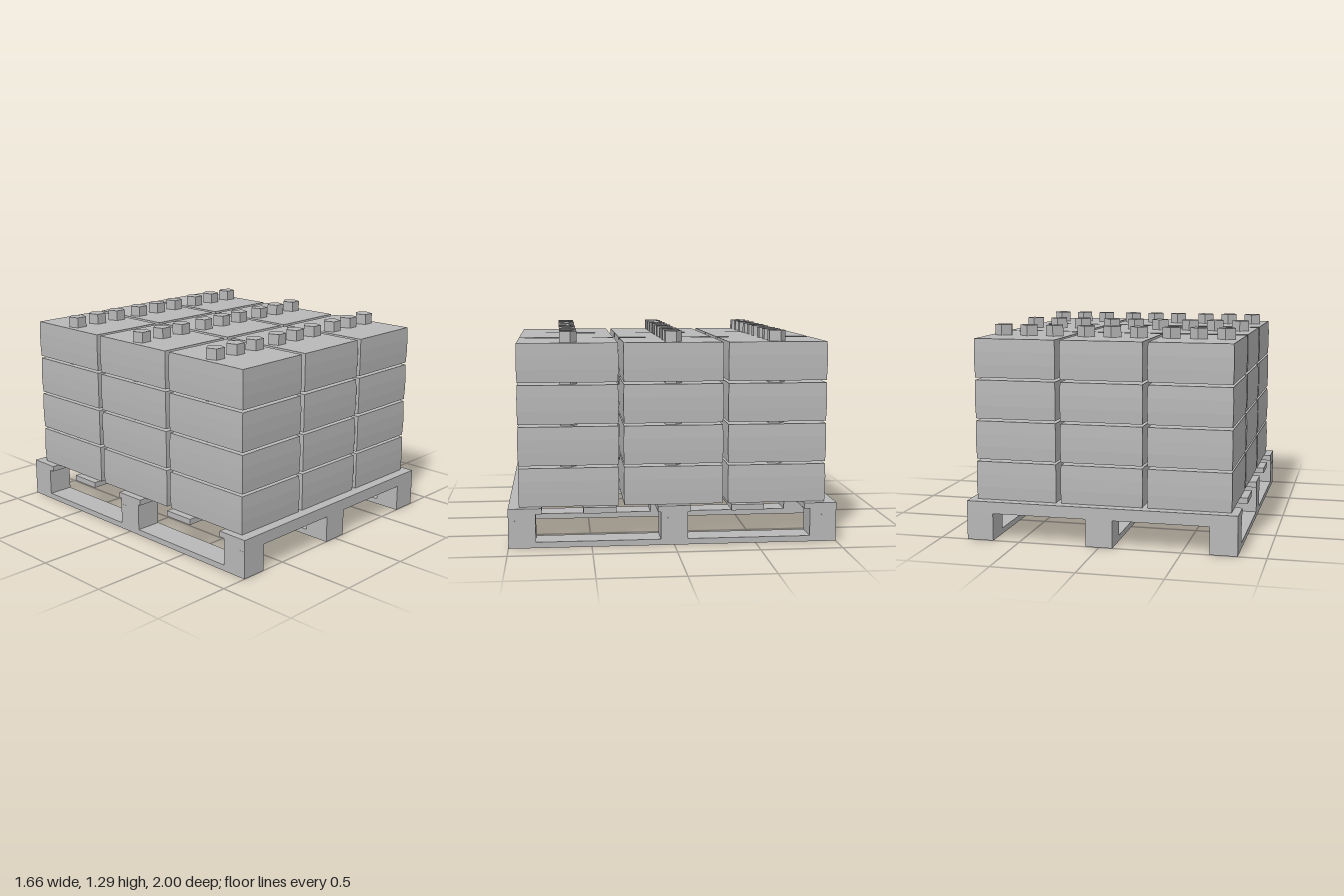
import * as THREE from 'three';

export function createModel() {
  const model = new THREE.Group();
  const grey = new THREE.MeshStandardMaterial({ color: 0xb8b8b8, flatShading: true });
  grey.name = 'plain grey';

  const add = (parent, name, geometry, x, y, z) => {
    const mesh = new THREE.Mesh(geometry, grey);
    mesh.name = name;
    mesh.position.set(x, y, z);
    parent.add(mesh);
    return mesh;
  };
  // Box given by its bottom and top heights
  const slab = (parent, name, w, y0, y1, d, x, z) =>
    add(parent, name, new THREE.BoxGeometry(w, y1 - y0, d), x, (y0 + y1) / 2, z);

  // Pallet: runners along z, blocks, cross beams and deck boards
  const pallet = new THREE.Group();
  pallet.name = 'pallet';
  model.add(pallet);
  for (const x of [-0.748, 0, 0.748]) {
    slab(pallet, 'bottomRunner', 0.165, 0, 0.036, 2, x, 0);
    for (const z of [-0.918, 0, 0.918]) slab(pallet, 'block', 0.165, 0.036, 0.168, 0.164, x, z);
  }
  for (const z of [-0.918, 0, 0.918]) slab(pallet, 'crossBeam', 1.66, 0.168, 0.205, 0.164, 0, z);
  for (const z of [-0.9, -0.45, 0, 0.45, 0.9]) slab(pallet, 'deckBoard', 1.66, 0.205, 0.241, 0.2, 0, z);

  // Crate: a box whose sides swell very slightly around the middle
  const crateHeight = 0.235;
  const crate = new THREE.BoxGeometry(0.5, crateHeight, 0.6, 1, 3, 1);
  const p = crate.attributes.position;
  for (let i = 0; i < p.count; i++) {
    if (Math.abs(p.getY(i)) < crateHeight / 3) {
      p.setX(i, p.getX(i) + Math.sign(p.getX(i)) * 0.003);
      p.setZ(i, p.getZ(i) + Math.sign(p.getZ(i)) * 0.003);
    }
  }
  crate.computeVertexNormals();

  // Five-sided studs on each lid, pointing to the back
  const stud = new THREE.CylinderGeometry(0.058, 0.058, 0.067, 5);
  stud.rotateY(Math.PI);

  // Stack of four layers of three by three crates
  for (let layer = 0; layer < 4; layer++) {
    const group = new THREE.Group();
    group.name = 'crateLayer';
    group.position.y = 0.241 + layer * 0.25;
    model.add(group);
    for (const x of [-0.533, 0, 0.533]) {
      for (const z of [-0.635, 0, 0.635]) {
        add(group, 'crate', crate, x, crateHeight / 2, z);
        for (const dx of [-0.166, 0, 0.166]) add(group, 'stud', stud, x + dx, crateHeight + 0.0325, z);
      }
    }
  }
  return model;
}
